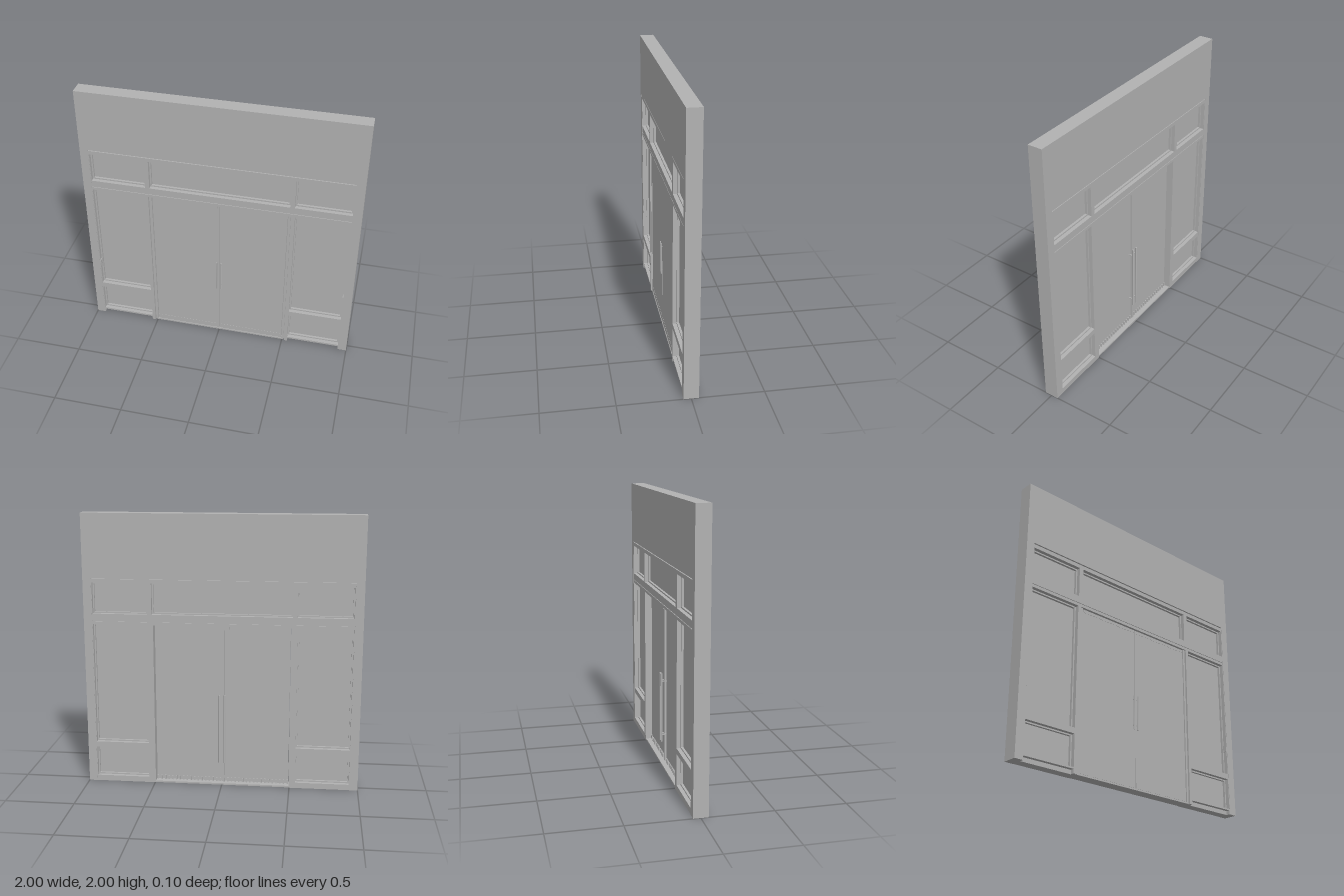
import * as THREE from 'three';

export function createModel() {
  const model = new THREE.Group();
  model.name = 'entranceWall';
  const grey = new THREE.MeshStandardMaterial({ color: 0xb2b2b2 });
  grey.name = 'plain grey';
  const D = 0.052; // half wall thickness

  // box given by its limits on each axis
  function box(name, x0, x1, y0, y1, z0, z1, parent = model) {
    const mesh = new THREE.Mesh(new THREE.BoxGeometry(x1 - x0, y1 - y0, z1 - z0), grey);
    mesh.position.set((x0 + x1) / 2, (y0 + y1) / 2, (z0 + z1) / 2);
    mesh.name = name;
    parent.add(mesh);
    return mesh;
  }
  function rod(name, x, y0, y1, z, r, parent) {
    const mesh = new THREE.Mesh(new THREE.CylinderGeometry(r, r, y1 - y0, 16), grey);
    mesh.position.set(x, (y0 + y1) / 2, z);
    mesh.name = name;
    parent.add(mesh);
  }

  // wall with one large opening
  const outline = new THREE.Shape([
    [-1, 0], [-0.94, 0], [-0.94, 1.54], [0.94, 1.54], [0.94, 0], [1, 0], [1, 2], [-1, 2],
  ].map(p => new THREE.Vector2(...p)));
  const wall = new THREE.Mesh(
    new THREE.ExtrudeGeometry(outline, { depth: 2 * D, bevelEnabled: false }), grey);
  wall.position.z = -D;
  wall.name = 'wall';
  model.add(wall);

  // horizontal frame members, with narrow shadow gaps between them
  const F = 0.05;
  box('headRail', -0.94, 0.94, 1.505, 1.533, -F, F);
  box('headGapFiller', -0.94, 0.94, 1.533, 1.54, -0.04, 0.04);
  box('transomUpper', -0.94, 0.94, 1.228, 1.28, -F, F);
  box('transomGapFiller', -0.94, 0.94, 1.224, 1.228, -0.045, 0.045);
  box('transomLower', -0.94, 0.94, 1.203, 1.224, -F, F);

  // glazed panel with a stepped bead round it
  function panel(name, x0, x1, y0, y1) {
    const g = new THREE.Group();
    g.name = name;
    const b = 0.01, z = 0.022;
    box('glass', x0, x1, y0, y1, -0.005, 0.005, g);
    box('leftBead', x0, x0 + b, y0, y1, -z, z, g);
    box('rightBead', x1 - b, x1, y0, y1, -z, z, g);
    box('bottomBead', x0 + b, x1 - b, y0, y0 + b, -z, z, g);
    box('topBead', x0 + b, x1 - b, y1 - b, y1, -z, z, g);
    model.add(g);
  }
  panel('centreFanlight', -0.505, 0.505, 1.28, 1.505);

  for (const s of [-1, 1]) {
    const side = s < 0 ? 'right' : 'left';
    const span = (a, b) => (s > 0 ? [a, b] : [-b, -a]);

    // posts and side rails
    box(side + 'UpperPost', ...span(0.505, 0.538), 1.28, 1.505, -F, F);
    box(side + 'DoorPost', ...span(0.518, 0.542), 0, 1.203, -F, F);
    box(side + 'DoorJamb', ...span(0.495, 0.512), 0, 1.203, -F, 0.042);
    box(side + 'JambGapFiller', ...span(0.512, 0.518), 0, 1.203, -F, 0.03);
    box(side + 'WallStile', ...span(0.935, 0.94), 0, 1.533, -F, F);
    box(side + 'MiddleRail', ...span(0.542, 0.935), 0.267, 0.308, -F, F);
    box(side + 'BottomRail', ...span(0.542, 0.935), 0.03, 0.042, -F, F);
    box(side + 'Plinth', ...span(0.542, 0.935), 0, 0.03, -F, 0.022);

    // side glazing
    panel(side + 'Fanlight', ...span(0.538, 0.935), 1.28, 1.505);
    panel(side + 'SidePanel', ...span(0.542, 0.935), 0.308, 1.203);
    panel(side + 'LowerPanel', ...span(0.542, 0.935), 0.042, 0.267);
    box(side + 'LockPlate', ...span(0.93, 0.938), 0.485, 0.535, 0.01, 0.051);

    // door leaf
    const door = new THREE.Group();
    door.name = side + 'Door';
    model.add(door);
    box('leaf', ...span(0.002, 0.491), 0.014, 1.198, 0.002, 0.037, door);
    box('kickStrip', ...span(0.01, 0.488), 0.014, 0.054, 0.037, 0.0385, door);
    box('topStrip', ...span(0.01, 0.488), 1.176, 1.198, 0.037, 0.0385, door);

    // pull handles, short outside and long inside
    rod('frontHandle', s * 0.017, 0.43, 0.68, 0.047, 0.0045, door);
    rod('backHandle', s * 0.02, 0.17, 0.69, -0.035, 0.007, door);
    for (const y of [0.46, 0.65]) {
      box('frontHandleStud', s * 0.017 - 0.003, s * 0.017 + 0.003, y, y + 0.006, 0.036, 0.046, door);
    }
    for (const y of [0.22, 0.63]) {
      box('backHandleStud', s * 0.02 - 0.004, s * 0.02 + 0.004, y, y + 0.008, -0.035, 0.003, door);
    }
  }

  // meeting stile, latch box, threshold and floor grille
  box('meetingStile', -0.018, 0.002, 0.014, 1.198, -0.012, 0.002);
  box('latchBox', -0.05, 0.05, 1.175, 1.203, -0.03, 0.002);
  box('threshold', -0.512, 0.512, 0, 0.012, -0.045, 0.042);
  for (let i = 0; i < 36; i++) {
    const x = -0.485 + i * 0.97 / 35;
    box('grilleRib', x - 0.005, x + 0.005, 0.012, 0.042, -0.008, 0.002);
  }
  return model;
}
